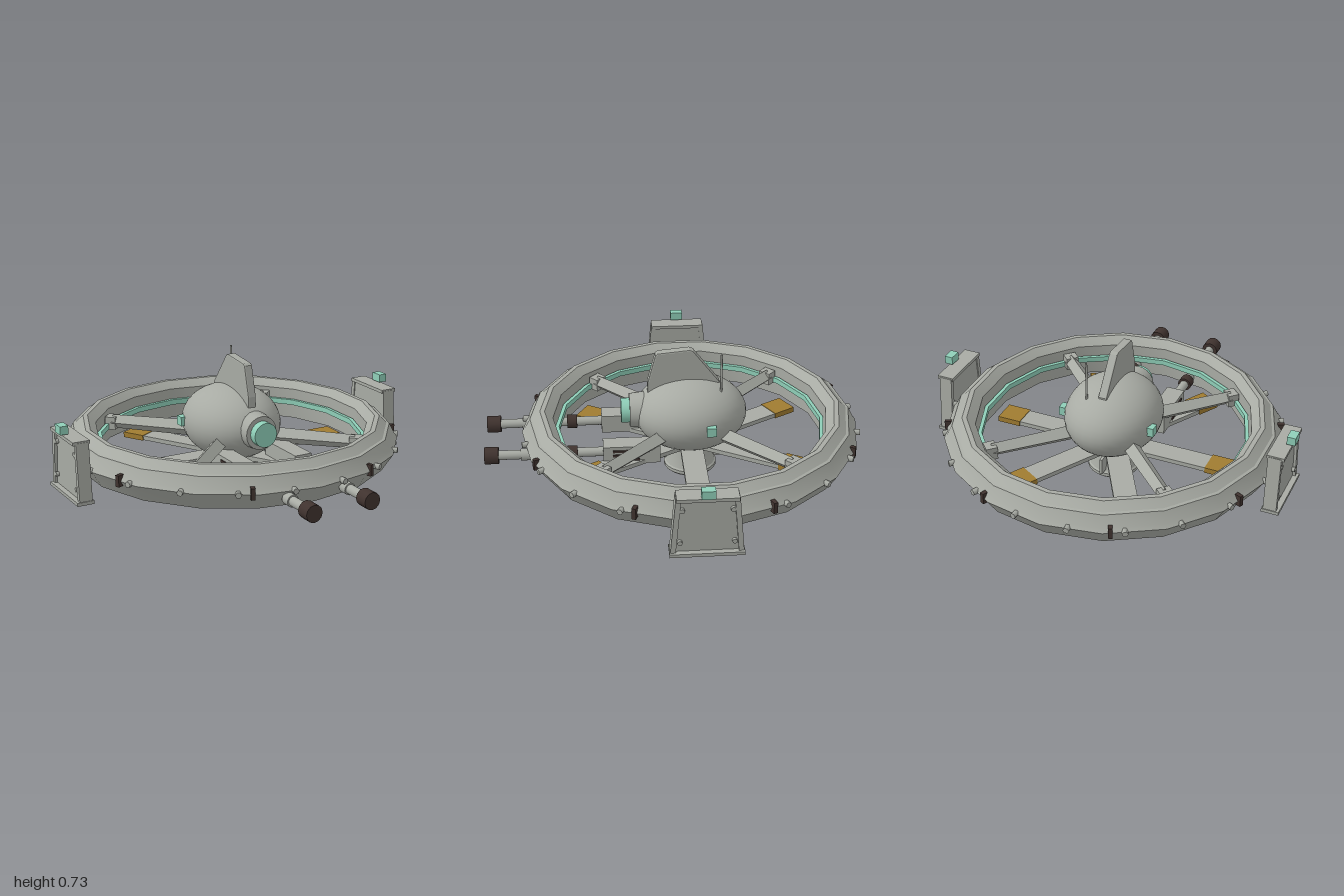
import * as THREE from 'three';
import { toCreasedNormals } from 'three/addons/utils/BufferGeometryUtils.js';

const mat = (name, color) => new THREE.MeshStandardMaterial({ name, color });

export function createModel() {
  const grey = mat('hull grey', 0xa8aba4);
  const mint = mat('mint glow', 0x8fcfb8);
  const gold = mat('ochre tips', 0xa07c30);
  const dark = mat('dark brown', 0x40332f);

  const model = new THREE.Group();
  model.name = 'ringShip';
  const hub = new THREE.Group(); // everything turns around this axis
  hub.name = 'hub';
  hub.position.z = -0.093;
  model.add(hub);

  const add = (parent, name, geo, material, x = 0, y = 0, z = 0) => {
    const m = new THREE.Mesh(geo, material);
    m.name = name;
    m.position.set(x, y, z);
    parent.add(m);
    return m;
  };
  const box = (w, h, d) => new THREE.BoxGeometry(w, h, d);
  const cylZ = (r0, r1, len, sides = 16) =>
    new THREE.CylinderGeometry(r1, r0, len, sides).rotateX(Math.PI / 2);
  const lathe = (pts, sides) => toCreasedNormals(
    new THREE.LatheGeometry(pts.map(p => new THREE.Vector2(...p)), sides), 0.5);
  // group whose +x axis points outward at the given angle
  const radial = (name, angle) => {
    const g = new THREE.Group();
    g.name = name;
    g.rotation.y = angle;
    hub.add(g);
    return g;
  };

  // Outer ring and the glowing band inside it
  add(hub, 'outerRing', lathe([
    [0.73, 0.172], [0.84, 0.172], [0.9, 0.265], [0.885, 0.285], [0.855, 0.342], [0.84, 0.346],
    [0.80, 0.385], [0.775, 0.385], [0.732, 0.345], [0.73, 0.172]], 18), grey);
  add(hub, 'glowBand', lathe([
    [0.702, 0.258], [0.722, 0.258], [0.722, 0.288], [0.702, 0.288], [0.702, 0.258]], 18), mint);

  // Rim bolts and clamps
  for (let i = 0; i < 20; i++) {
    const g = radial('rimBolt', (9 + 18 * i) * Math.PI / 180);
    add(g, 'bolt', new THREE.CylinderGeometry(0.016, 0.016, 0.04, 6).rotateZ(Math.PI / 2), grey, 0.888, 0.267);
  }
  for (let i = 0; i < 8; i++) {
    const g = radial('rimClamp', (22.5 + 45 * i) * Math.PI / 180);
    add(g, 'clamp', box(0.04, 0.06, 0.022), dark, 0.882, 0.268);
  }

  // Central body
  add(hub, 'body', new THREE.SphereGeometry(1, 32, 20).scale(0.256, 0.2, 0.3), grey, 0, 0.36, 0);
  add(hub, 'noseCollar', cylZ(0.1, 0.09, 0.09, 20), grey, 0, 0.375, 0.28);
  add(hub, 'noseLens', cylZ(0.066, 0.066, 0.05, 20), mint, 0, 0.375, 0.345);
  for (const s of [-1, 1]) add(hub, 'sidePort', box(0.05, 0.05, 0.05), mint, s * 0.243, 0.37, -0.09);

  // Dorsal fin, drawn in the z-y plane
  const finShape = new THREE.Shape([[0.135, 0.46], [0.135, 0.545], [0.093, 0.705], [0.08, 0.715],
    [-0.085, 0.73], [-0.105, 0.722], [-0.245, 0.54], [-0.245, 0.43]].map(p => new THREE.Vector2(...p)));
  const finGeo = new THREE.ExtrudeGeometry(finShape, {
    depth: 0.034, bevelEnabled: true, bevelSize: 0.007, bevelThickness: 0.007, bevelOffset: -0.007, bevelSegments: 2 });
  add(model, 'dorsalFin', finGeo.translate(0, 0, -0.017).rotateY(-Math.PI / 2), grey);
  add(model, 'antenna', new THREE.CylinderGeometry(0.006, 0.006, 0.28, 8), grey, 0.087, 0.588, -0.247);

  // Belly turret with four fins
  add(hub, 'bellyTurret', lathe([[0, 0.03], [0.132, 0.03], [0.142, 0.04], [0.142, 0.058],
    [0.134, 0.066], [0.108, 0.165], [0.108, 0.26]], 24), grey);
  add(hub, 'bellyLens', new THREE.CylinderGeometry(0.085, 0.085, 0.04, 24), mint, 0, 0.02);
  for (let i = 0; i < 4; i++) {
    add(radial('bellyFin', i * Math.PI / 2), 'fin', box(0.08, 0.09, 0.015), grey, 0.14, 0.123);
  }

  // Six flat blades with coloured tips
  for (let i = 0; i < 6; i++) {
    const g = radial('blade', i * Math.PI / 3);
    add(g, 'bladeArm', box(0.44, 0.024, 0.12), grey, 0.32, 0.182);
    add(g, 'bladeTip', box(0.13, 0.03, 0.13), gold, 0.602, 0.182);
  }

  // Four ridged spokes with end blocks
  for (let i = 0; i < 4; i++) {
    const g = radial('spoke', Math.PI / 4 + i * Math.PI / 2);
    const geo = toCreasedNormals(new THREE.CylinderGeometry(0.038, 0.046, 0.52, 4), 0.3).rotateZ(-Math.PI / 2);
    add(g, 'spokeBeam', geo, grey, 0.42, 0.295);
    add(g, 'spokeBlock', box(0.06, 0.07, 0.07), grey, 0.685, 0.29);
    add(g, 'spokeMount', box(0.05, 0.04, 0.05), grey, 0.73, 0.29);
  }

  // Twin guns through the front of the ring
  for (const s of [-1, 1]) {
    const g = new THREE.Group();
    g.name = 'gun';
    g.position.set(s * 0.165, 0.224, 0);
    model.add(g);
    add(g, 'gunHousing', box(0.1, 0.1, 0.3), grey, 0, 0, 0.23);
    for (const y of [-0.025, 0, 0.025])
      add(g, 'housingVent', box(0.008, 0.012, 0.14), dark, s * 0.052, y, 0.26);
    add(g, 'barrel', cylZ(0.025, 0.025, 0.6), grey, 0, 0, 0.65);
    add(g, 'barrelBand', cylZ(0.037, 0.037, 0.054), dark, 0, 0, 0.54);
    add(g, 'barrelCollar', cylZ(0.032, 0.032, 0.05), grey, 0, 0, 0.785);
    add(g, 'muzzle', cylZ(0.045, 0.045, 0.074, 12), dark, 0, 0, 0.963);
  }

  // Side pods: tapered web, edge rails, flanges, rivets and a lamp
  const web = new THREE.Shape([[-0.165, 0.12], [0.165, 0.12], [0.14, 0.42], [-0.14, 0.42]]
    .map(p => new THREE.Vector2(...p)));
  for (const s of [-1, 1]) {
    const g = new THREE.Group();
    g.name = s > 0 ? 'leftPod' : 'rightPod';
    if (s < 0) g.rotation.y = Math.PI;
    hub.add(g);
    const webGeo = new THREE.ExtrudeGeometry(web, { depth: 0.05, bevelEnabled: false });
    add(g, 'podWeb', webGeo.rotateY(Math.PI / 2), grey, 0.9);
    add(g, 'topFlange', box(0.092, 0.018, 0.3), grey, 0.933, 0.424);
    add(g, 'bottomFlange', box(0.092, 0.018, 0.365), grey, 0.933, 0.115);
    for (const e of [-1, 1]) {
      const rail = add(g, 'edgeRail', box(0.07, 0.31, 0.026), grey, 0.93, 0.27, e * 0.153);
      rail.rotation.x = -e * 0.083;
      for (const [y, z] of [[0.36, 0.122], [0.178, 0.132]])
        add(g, 'rivet', new THREE.CylinderGeometry(0.013, 0.013, 0.02, 8).rotateZ(Math.PI / 2), grey, 0.956, y, e * z);
    }
    add(g, 'lamp', box(0.045, 0.044, 0.068), mint, 0.975, 0.464);
  }

  return model;
}
